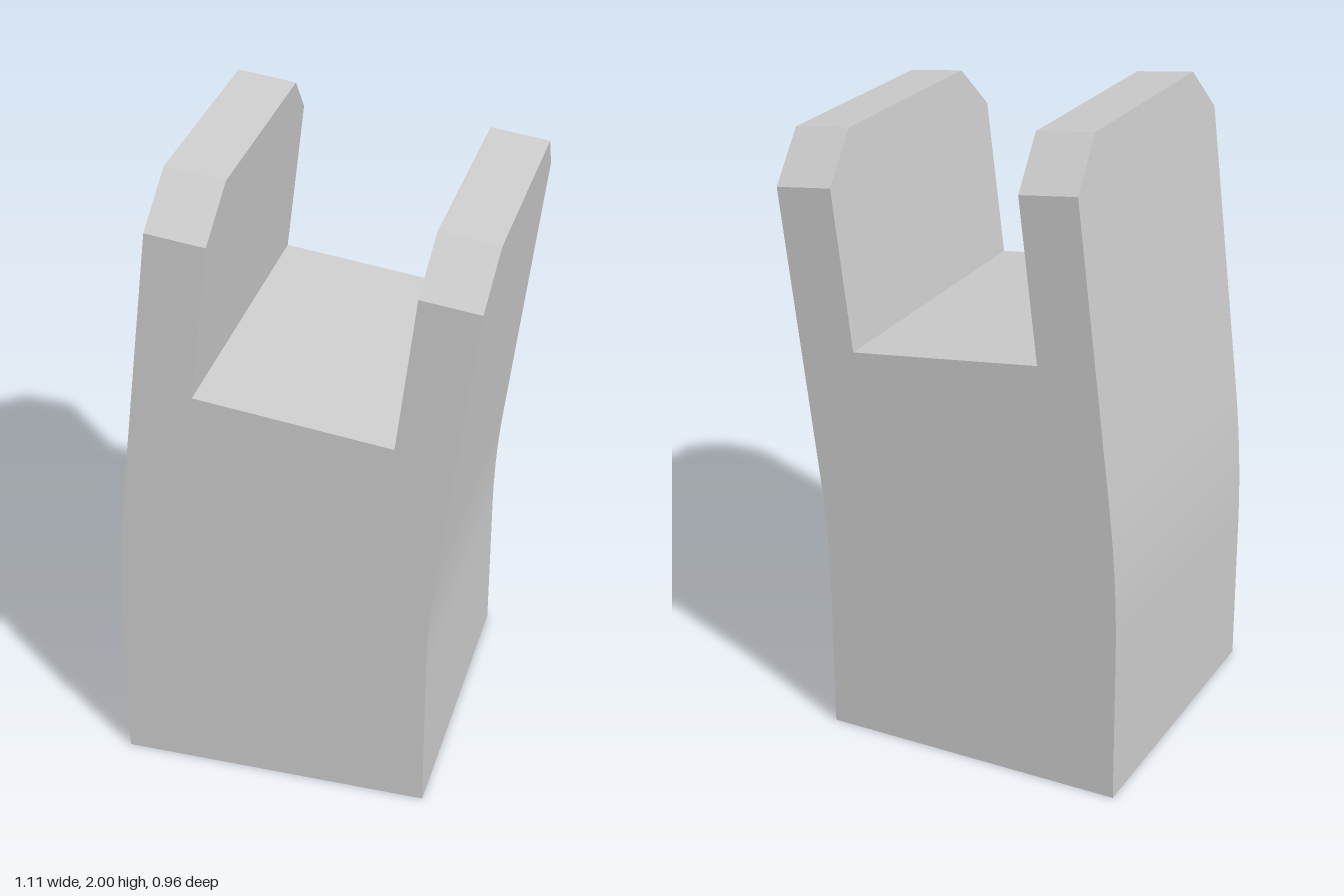
import * as THREE from 'three';
import { toCreasedNormals } from 'three/addons/utils/BufferGeometryUtils.js';

const HALF = 0.48;        // half width of the square section
const WALL = 0.12;        // wall of the hollow socket
const CEILING = 1.2;      // depth of the hollow
const FLOOR = 1.318;      // slot floor, measured along the spine
const TOP = 1.952;        // prong tips, measured along the spine
const PRONG = 0.18;       // prong thickness
const CHAMFER = 0.14;

// Spine: straight, then a gentle arc, then straight and tilted
const BASE_X = -0.075, BEND_START = 0.48, BEND_LENGTH = 0.42, BEND_ANGLE = 0.119;

function bend(geometry) {
  const p = geometry.attributes.position;
  const radius = BEND_LENGTH / BEND_ANGLE;
  for (let i = 0; i < p.count; i++) {
    const u = p.getX(i), s = p.getY(i);
    const along = THREE.MathUtils.clamp(s - BEND_START, 0, BEND_LENGTH);
    const a = along / radius, sin = Math.sin(a), cos = Math.cos(a);
    const rest = s - along - Math.min(s, BEND_START);
    const x = BASE_X + radius * (1 - cos) + rest * sin + u * cos;
    const y = Math.min(s, BEND_START) + radius * sin + rest * cos - u * sin;
    p.setXY(i, x, y);
  }
  return toCreasedNormals(geometry, 0.4);
}

function square(half, Type) {
  return new Type([[-half, -half], [half, -half], [half, half], [-half, half]]
    .map(([x, y]) => new THREE.Vector2(x, y)));
}

export function createModel() {
  const group = new THREE.Group();
  const material = new THREE.MeshStandardMaterial({ color: 0xcccccc });
  const add = (name, geometry) => {
    const mesh = new THREE.Mesh(bend(geometry), material);
    mesh.name = name;
    group.add(mesh);
  };

  // Hollow square socket, open at the bottom
  const section = square(HALF, THREE.Shape);
  section.holes.push(square(HALF - WALL, THREE.Path));
  add('socket', new THREE.ExtrudeGeometry(section, { depth: CEILING, steps: 20, bevelEnabled: false })
    .rotateX(-Math.PI / 2));

  // Solid block closing the socket and forming the slot floor
  add('slotFloor', new THREE.BoxGeometry(2 * HALF, FLOOR - CEILING, 2 * HALF)
    .translate(0, (FLOOR + CEILING) / 2, 0));

  // Two upright prongs with chamfered front and back corners
  const outline = new THREE.Shape([
    [-HALF, FLOOR], [HALF, FLOOR], [HALF, TOP - CHAMFER], [HALF - CHAMFER, TOP],
    [CHAMFER - HALF, TOP], [-HALF, TOP - CHAMFER],
  ].map(([z, y]) => new THREE.Vector2(z, y)));
  for (const [name, start] of [['rightProng', -HALF], ['leftProng', HALF - PRONG]]) {
    add(name, new THREE.ExtrudeGeometry(outline, { depth: PRONG, bevelEnabled: false })
      .rotateY(Math.PI / 2).translate(start, 0, 0));
  }
  return group;
}
